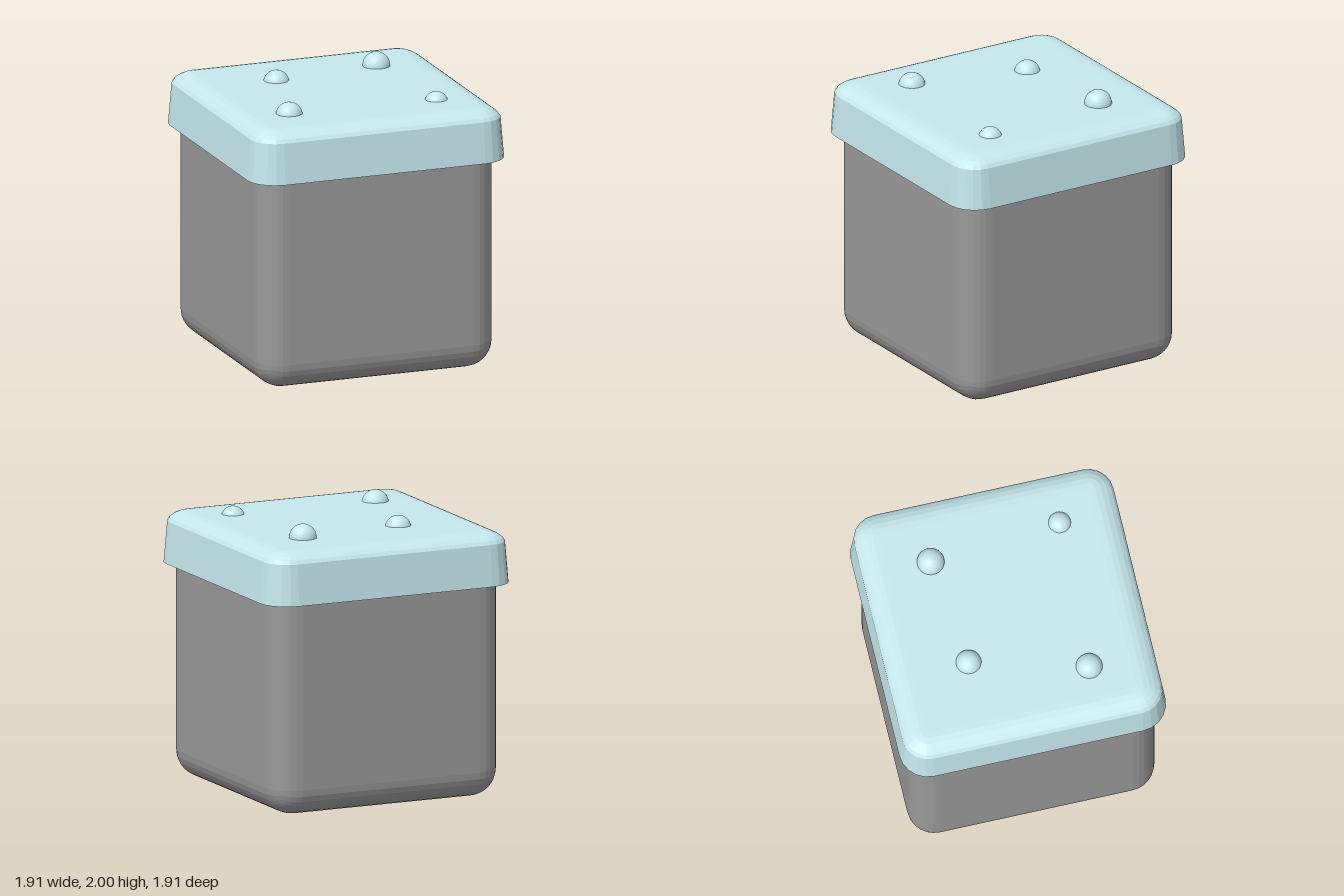
import * as THREE from 'three';
import { RoundedBoxGeometry } from 'three/addons/geometries/RoundedBoxGeometry.js';

const CORNER = 0.75; // centre of the rounded corners
const STEPS = 5;     // facets per corner

// Rounded-square ring of the given half width, counter-clockwise seen from above
function ring(half, y) {
  const points = [];
  const r = half - CORNER;
  for (let q = 0; q < 4; q++) {
    const mid = Math.PI / 4 + q * Math.PI / 2;
    for (let i = 0; i <= STEPS; i++) {
      const a = (q + i / STEPS) * Math.PI / 2;
      points.push(new THREE.Vector3(
        Math.sign(Math.cos(mid)) * CORNER + r * Math.cos(a), y,
        -(Math.sign(Math.sin(mid)) * CORNER + r * Math.sin(a))));
    }
  }
  return points;
}

// Open-bottomed shell lofted through the rings and closed with a flat top
function lidGeometry(profile) {
  const positions = [];
  const index = [];
  const n = 4 * (STEPS + 1);
  profile.forEach(([half, y]) => ring(half, y).forEach((p) => positions.push(p.x, p.y, p.z)));
  for (let j = 0; j < profile.length - 1; j++) {
    for (let i = 0; i < n; i++) {
      const a = j * n + i, b = j * n + (i + 1) % n;
      index.push(a, b, b + n, a, b + n, a + n);
    }
  }
  const top = (profile.length - 1) * n;
  for (let i = 1; i < n - 1; i++) index.push(top, top + i, top + i + 1);
  const geometry = new THREE.BufferGeometry();
  geometry.setAttribute('position', new THREE.Float32BufferAttribute(positions, 3));
  geometry.setIndex(index);
  geometry.computeVertexNormals();
  return geometry;
}

export function createModel() {
  const group = new THREE.Group();
  const bodyMaterial = new THREE.MeshStandardMaterial({ color: 0x999999, flatShading: true });
  const lidMaterial = new THREE.MeshStandardMaterial({
    color: 0xc5e8ed, flatShading: true, side: THREE.DoubleSide });

  // Rounded cube body
  const body = new THREE.Mesh(new RoundedBoxGeometry(1.77, 1.77, 1.77, 4, 0.195), bodyMaterial);
  body.name = 'body';
  body.position.y = 0.885;
  group.add(body);

  // Flared lid with a soft upper edge
  const profile = [[0.955, 1.53], [0.93, 1.825], [0.912, 1.85], [0.88, 1.873],
    [0.84, 1.89], [0.8, 1.898], [0.752, 1.9]];
  const lid = new THREE.Mesh(lidGeometry(profile), lidMaterial);
  lid.name = 'lid';
  group.add(lid);

  // Round bumps half sunk into the lid: x, y, z, radius
  const bumps = new THREE.Group();
  bumps.name = 'lidBumps';
  [[-0.53, 1.885, 0.46, 0.095], [-0.31, 1.88, -0.355, 0.092],
    [0.475, 1.903, -0.445, 0.097], [0.558, 1.872, 0.5, 0.084]].forEach(([x, y, z, r], i) => {
    const bump = new THREE.Mesh(new THREE.IcosahedronGeometry(r, 4), lidMaterial);
    bump.name = `bump${i + 1}`;
    bump.position.set(x, y, z);
    bumps.add(bump);
  });
  group.add(bumps);
  return group;
}
